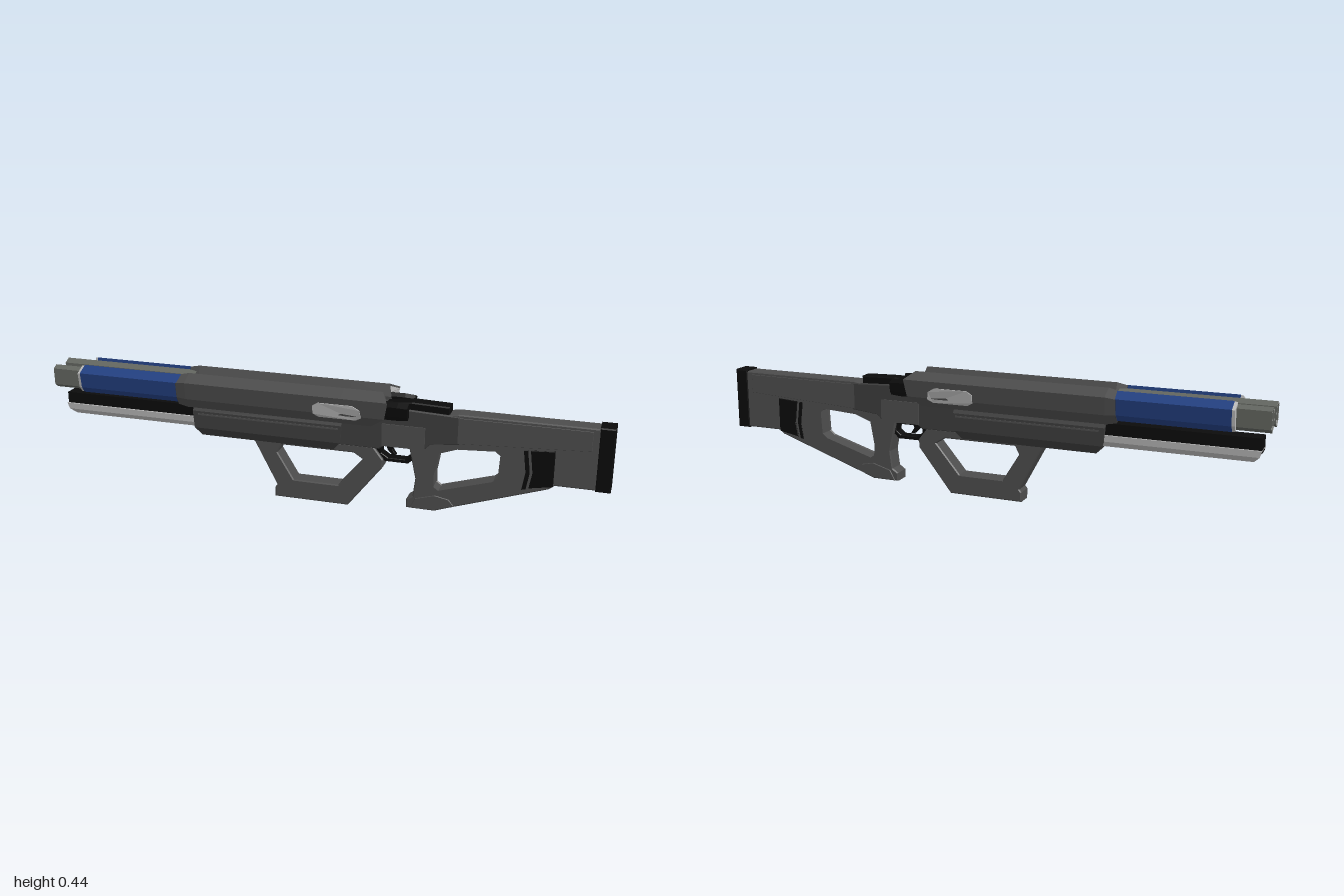
import * as THREE from 'three';

const mat = (color) => new THREE.MeshStandardMaterial({ color, flatShading: true, side: THREE.DoubleSide });
const GREY = mat(0x4c4c4c), DARK = mat(0x3c3c3c), BLACK = mat(0x0b0b0b);
const BLUE = mat(0x223f80), LIGHT = mat(0xb8b8b8), METAL = mat(0x62655f);

export function createModel() {
  const model = new THREE.Group();

  const add = (name, geometry, material) => {
    const mesh = new THREE.Mesh(geometry, material);
    mesh.name = name;
    model.add(mesh);
    return mesh;
  };
  const vec = (pts) => pts.map(([a, b]) => new THREE.Vector2(a, b));

  // side outline in x/y, extruded evenly about z = 0 with a small chamfer
  const plate = (name, pts, half, material, holes = [], bevel = 0.004) => {
    const shape = new THREE.Shape(vec(pts));
    holes.forEach((h) => shape.holes.push(new THREE.Path(vec(h))));
    const geo = new THREE.ExtrudeGeometry(shape, {
      depth: 2 * (half - bevel), bevelEnabled: bevel > 0, bevelThickness: bevel,
      bevelSize: bevel, bevelOffset: -bevel, bevelSegments: 1,
    });
    geo.translate(0, 0, -(half - bevel));
    return add(name, geo, material);
  };

  const box = (name, x0, x1, y0, y1, z0, z1, material) => {
    const geo = new THREE.BoxGeometry(x1 - x0, y1 - y0, z1 - z0);
    geo.translate((x0 + x1) / 2, (y0 + y1) / 2, (z0 + z1) / 2);
    return add(name, geo, material);
  };

  // skin over cross-sections [z, y] along x; each ring is { x (number or list), k (scale) }
  const loft = (name, section, rings, material, side = 1, caps = true) => {
    const n = section.length;
    const cz = section.reduce((a, p) => a + p[0], 0) / n;
    const cy = section.reduce((a, p) => a + p[1], 0) / n;
    const loops = rings.map(({ x, k = 1 }) => section.map(([z, y], i) =>
      [Array.isArray(x) ? x[i] : x, cy + (y - cy) * k, side * (cz + (z - cz) * k)]));
    const out = [];
    const tri = (a, b, c) => out.push(...a, ...(side > 0 ? b : c), ...(side > 0 ? c : b));
    for (let r = 0; r + 1 < loops.length; r++) {
      for (let i = 0; i < n; i++) {
        const j = (i + 1) % n, A = loops[r], B = loops[r + 1];
        tri(A[i], A[j], B[j]);
        tri(A[i], B[j], B[i]);
      }
    }
    if (caps) {
      [loops[0], loops[loops.length - 1]].forEach((L, end) => {
        const mid = [L.reduce((a, p) => a + p[0], 0) / n, cy, side * cz];
        for (let i = 0; i < n; i++) {
          const j = (i + 1) % n;
          if (end) tri(mid, L[i], L[j]); else tri(mid, L[j], L[i]);
        }
      });
    }
    const geo = new THREE.BufferGeometry();
    geo.setAttribute('position', new THREE.Float32BufferAttribute(out, 3));
    geo.computeVertexNormals();
    return add(name, geo, material);
  };

  // twin upper barrels, splayed outward
  const shell = [[0.047, 0.437], [0.028, 0.396], [0.036, 0.334], [0.068, 0.318], [0.088, 0.353], [0.096, 0.414]];
  const rearX = [0.235, 0.245, 0.225, 0.2, 0.25, 0.26];
  const sleeve = [[0.05, 0.43], [0.045, 0.4], [0.046, 0.345], [0.066, 0.333], [0.083, 0.355], [0.091, 0.41]];
  const rail = [[0.045, 0.42], [0.02, 0.408], [0.02, 0.35], [0.045, 0.336], [0.064, 0.35], [0.066, 0.41]];
  const plug = [[0.05, 0.407], [0.04, 0.395], [0.043, 0.352], [0.062, 0.345], [0.072, 0.36], [0.078, 0.395]];
  for (const s of [1, -1]) {
    loft('barrelShroud', shell, [{ x: -0.505, k: 0.88 }, { x: -0.47 }, { x: 0.1 }, { x: rearX },
      { x: rearX, k: 0.87 }], GREY, s, false);
    loft('shroudFront', shell, [{ x: -0.506, k: 0.88 }, { x: -0.504, k: 0.88 }], DARK, s);
    loft('shroudRearCap', shell, [{ x: rearX, k: 0.87 }, { x: 0.24, k: 0.5 }], LIGHT, s);
    loft('rearPlug', plug, [{ x: 0.2 }, { x: 0.29 }, { x: 0.325, k: 0.9 }], BLACK, s);
    loft('barrelSleeve', sleeve, [{ x: -0.88 }, { x: -0.48 }], BLUE, s);
    loft('sleeveRing', sleeve, [{ x: -0.89, k: 0.95 }, { x: -0.878, k: 0.98 }], LIGHT, s);

    // inner rail with a hollow muzzle
    loft('barrelRail', rail, [{ x: -0.94, k: 0.7 }, { x: -0.99, k: 0.8 }, { x: -1, k: 0.88 }, { x: -1 },
      { x: -0.48 }], METAL, s, false);
    loft('muzzleBore', rail, [{ x: -0.945, k: 0.72 }, { x: -0.935, k: 0.72 }], BLACK, s);
    loft('muzzleRim', rail, [{ x: -1, k: 0.85 }, { x: -1, k: 0.96 }], LIGHT, s, false);

    // pale inlay lying on the outer face of the shroud
    const pill = new THREE.Shape(vec([[0, 0.35], [0.02, 0.338], [0.15, 0.338], [0.17, 0.35], [0.165, 0.378],
      [0.14, 0.392], [0.02, 0.392], [0, 0.38]]));
    const geo = new THREE.ExtrudeGeometry(pill, { depth: 0.008, bevelEnabled: false });
    const p = geo.attributes.position;
    for (let i = 0; i < p.count; i++) {
      const y = p.getY(i);
      const face = y > 0.353 ? 0.088 + (y - 0.353) * 0.131 : 0.088 - (0.353 - y) * 0.57;
      p.setZ(i, face - 0.004 + p.getZ(i));
    }
    geo.computeVertexNormals();
    const inlay = add('shroudInlay', geo, LIGHT);
    inlay.scale.z = s;

    // raised stock panel
    plate('stockPanel', [[0.49, 0.275], [0.93, 0.298], [0.93, 0.366], [0.49, 0.366]], 0.002, GREY, [], 0.001)
      .position.z = s * 0.032;
  }

  // lower barrel: dark core over a pale trough
  box('lowerBarrel', -0.97, -0.4, 0.262, 0.312, -0.03, 0.03, BLACK);
  const trough = [[0.028, 0.272], [-0.028, 0.272], [-0.037, 0.272], [-0.035, 0.25], [-0.018, 0.23],
    [0.018, 0.23], [0.035, 0.25], [0.037, 0.272]].reverse();
  loft('lowerBarrelTrough', trough.reverse(),
    [{ x: [-0.972, -0.972, -0.972, -0.965, -0.945, -0.945, -0.965, -0.972] }, { x: -0.42 }], LIGHT);

  // handguard
  const guard = [[0.04, 0.312], [-0.04, 0.312], [-0.052, 0.3], [-0.052, 0.237], [-0.04, 0.208],
    [0.04, 0.208], [0.052, 0.237], [0.052, 0.3]];
  loft('handguard', guard, [{ x: [-0.46, -0.46, -0.46, -0.455, -0.43, -0.43, -0.455, -0.46] },
    { x: [0.09, 0.09, 0.09, 0.085, 0.06, 0.06, 0.085, 0.09] }], DARK);
  box('handguardRidge', -0.44, 0.08, 0.286, 0.292, -0.054, 0.054, GREY);

  // receiver and central spine
  box('spine', -0.46, 0.3, 0.3, 0.385, -0.03, 0.03, DARK);
  plate('receiver', [[0.05, 0.225], [0.22, 0.225], [0.24, 0.24], [0.38, 0.24], [0.4, 0.26], [0.5, 0.27],
    [0.5, 0.37], [0.25, 0.38], [0.05, 0.33]], 0.034, DARK);
  box('receiverBlock', 0.23, 0.38, 0.24, 0.32, -0.038, 0.038, GREY);
  plate('topRail', [[0.24, 0.37], [0.46, 0.365], [0.46, 0.398], [0.33, 0.402], [0.24, 0.39]], 0.027, BLACK);

  // trigger and its guard
  plate('triggerGuard', [[0.19, 0.245], [0.2, 0.2], [0.24, 0.178], [0.32, 0.178], [0.345, 0.2], [0.345, 0.245]],
    0.02, BLACK, [[[0.225, 0.232], [0.225, 0.207], [0.25, 0.191], [0.31, 0.191], [0.328, 0.205], [0.328, 0.232]]], 0.002);
  plate('trigger', [[0.24, 0.24], [0.27, 0.24], [0.262, 0.22], [0.275, 0.2], [0.262, 0.2], [0.245, 0.218]],
    0.01, BLACK, [], 0.001);

  // looped foregrip
  plate('foregrip', [[-0.24, 0.212], [-0.152, 0.045], [-0.16, 0.035], [-0.16, 0], [0.11, 0], [0.232, 0.155],
    [0.235, 0.185], [0.2, 0.23], [0.07, 0.23], [0.05, 0.212]], 0.032, GREY,
  [[[-0.135, 0.2], [-0.15, 0.17], [-0.09, 0.072], [0.075, 0.072], [0.165, 0.178], [0.13, 0.2]]]);

  // thumbhole stock with pistol grip
  plate('stock', [[0.38, 0.36], [0.49, 0.377], [0.96, 0.377], [0.96, 0.163], [0.82, 0.163], [0.8, 0.148],
    [0.42, 0.02], [0.32, 0.02], [0.32, 0.05], [0.342, 0.065], [0.35, 0.13], [0.335, 0.2], [0.325, 0.245], [0.38, 0.25]],
  0.032, GREY,
  [[[0.425, 0.235], [0.49, 0.258], [0.62, 0.266], [0.64, 0.25], [0.635, 0.165], [0.615, 0.148], [0.43, 0.092],
    [0.412, 0.105], [0.41, 0.15]]]);
  plate('gripBase', [[0.33, 0.02], [0.42, 0.02], [0.49, 0.045], [0.47, 0.07], [0.42, 0.08], [0.35, 0.06]], 0.034, GREY);
  plate('cheekInsert', [[0.735, 0.28], [0.815, 0.285], [0.815, 0.16], [0.735, 0.145], [0.745, 0.2]],
    0.035, BLACK, [], 0.002);
  plate('insertStripe', [[0.712, 0.278], [0.726, 0.279], [0.736, 0.2], [0.726, 0.14], [0.712, 0.137], [0.722, 0.2]],
    0.034, BLACK, [], 0.001);
  plate('buttPad', [[0.95, 0.382], [1, 0.382], [1, 0.16], [0.95, 0.16]], 0.035, BLACK);

  return model;
}
